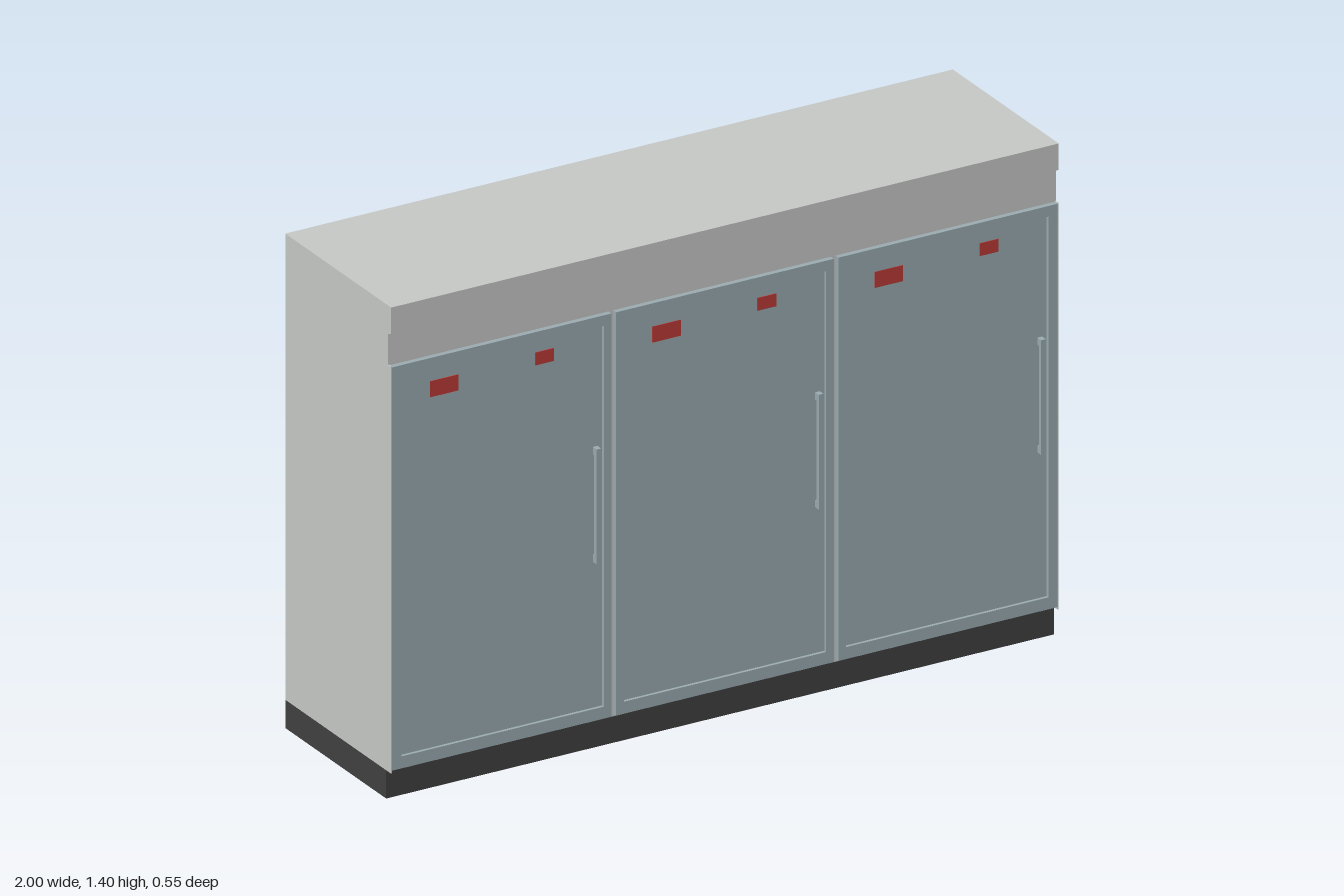
import * as THREE from 'three';

const mat = (name, color) => {
  const m = new THREE.MeshStandardMaterial({ color });
  m.name = name;
  return m;
};

export function createModel() {
  const root = new THREE.Group();
  root.name = 'threeDoorCabinet';
  const grey = mat('light grey casing', 0xc6c8c6);
  const blue = mat('grey blue door', 0x9aabb1);
  const dark = mat('dark plinth', 0x404040);
  const red = mat('red label', 0xb93a35);

  // Box given by its two opposite corners
  const box = (parent, name, material, x0, x1, y0, y1, z0, z1) => {
    const mesh = new THREE.Mesh(new THREE.BoxGeometry(x1 - x0, y1 - y0, z1 - z0), material);
    mesh.position.set((x0 + x1) / 2, (y0 + y1) / 2, (z0 + z1) / 2);
    mesh.name = name;
    parent.add(mesh);
  };
  const rect = (target, x0, x1, y0, y1) => {
    target.moveTo(x0, y0).lineTo(x1, y0).lineTo(x1, y1).lineTo(x0, y1).closePath();
    return target;
  };
  // Flat frame: rectangle with a rectangular opening, extruded along z
  const frame = (parent, name, material, outer, inner, z0, z1) => {
    const shape = rect(new THREE.Shape(), ...outer);
    shape.holes.push(rect(new THREE.Path(), ...inner));
    const mesh = new THREE.Mesh(
      new THREE.ExtrudeGeometry(shape, { depth: z1 - z0, bevelEnabled: false }), material);
    mesh.position.z = z0;
    mesh.name = name;
    parent.add(mesh);
  };

  // Casing, with a header overhanging a shallow finger groove
  const profile = new THREE.Shape([
    [-0.265, 0.08], [0.245, 0.08], [0.245, 1.32], [0.26, 1.325], [0.26, 1.4], [-0.265, 1.4],
  ].map(([z, y]) => new THREE.Vector2(-z, y)));
  const casing = new THREE.Mesh(
    new THREE.ExtrudeGeometry(profile, { depth: 2, bevelEnabled: false }), grey);
  casing.rotation.y = Math.PI / 2;
  casing.position.x = -1;
  casing.name = 'casing';
  root.add(casing);

  // Raised rim around the recessed back panel
  frame(root, 'backRim', grey, [-1, 1, 0.08, 1.4], [-0.975, 0.975, 0.086, 1.23], -0.275, -0.265);

  // Thin side edges beside the outer doors
  for (const s of [-1, 1]) {
    box(root, 'sideEdge', grey, Math.min(s, s * 0.997), Math.max(s, s * 0.997), 0.08, 1.232, 0.245, 0.259);
  }

  // Open plinth with a dark floor above it
  const plinth = new THREE.Group();
  plinth.name = 'plinth';
  root.add(plinth);
  box(plinth, 'plinthFront', dark, -1, 1, 0, 0.08, 0.229, 0.235);
  box(plinth, 'plinthBack', dark, -1, 1, 0, 0.08, -0.275, -0.269);
  box(plinth, 'plinthRight', dark, -1, -0.994, 0, 0.08, -0.269, 0.229);
  box(plinth, 'plinthLeft', dark, 0.994, 1, 0, 0.08, -0.269, 0.229);
  box(plinth, 'plinthFloor', dark, -0.994, 0.994, 0.075, 0.08, -0.269, 0.229);

  // Three identical doors
  [-0.666, 0, 0.666].forEach((cx, i) => {
    const door = new THREE.Group();
    door.name = `door${i + 1}`;
    door.position.x = cx;
    root.add(door);
    const l = i === 0 ? -0.331 : -0.326;
    const r = i === 2 ? 0.331 : 0.326;
    frame(door, 'doorFrame', blue, [l, r, 0.088, 1.23], [-0.303, 0.303, 0.122, 1.2], 0.245, 0.26);
    box(door, 'doorPanel', blue, -0.305, 0.305, 0.12, 1.202, 0.245, 0.251);
    // Bar handle on two feet
    box(door, 'handleBar', blue, 0.27, 0.284, 0.54, 0.865, 0.267, 0.279);
    box(door, 'handleFootLow', blue, 0.27, 0.284, 0.54, 0.56, 0.26, 0.267);
    box(door, 'handleFootHigh', blue, 0.27, 0.284, 0.845, 0.865, 0.26, 0.267);
    // Plain labels
    box(door, 'labelLarge', red, -0.213, -0.128, 1.115, 1.16, 0.251, 0.253);
    box(door, 'labelSmall', red, 0.102, 0.158, 1.132, 1.168, 0.251, 0.253);
  });

  return root;
}
